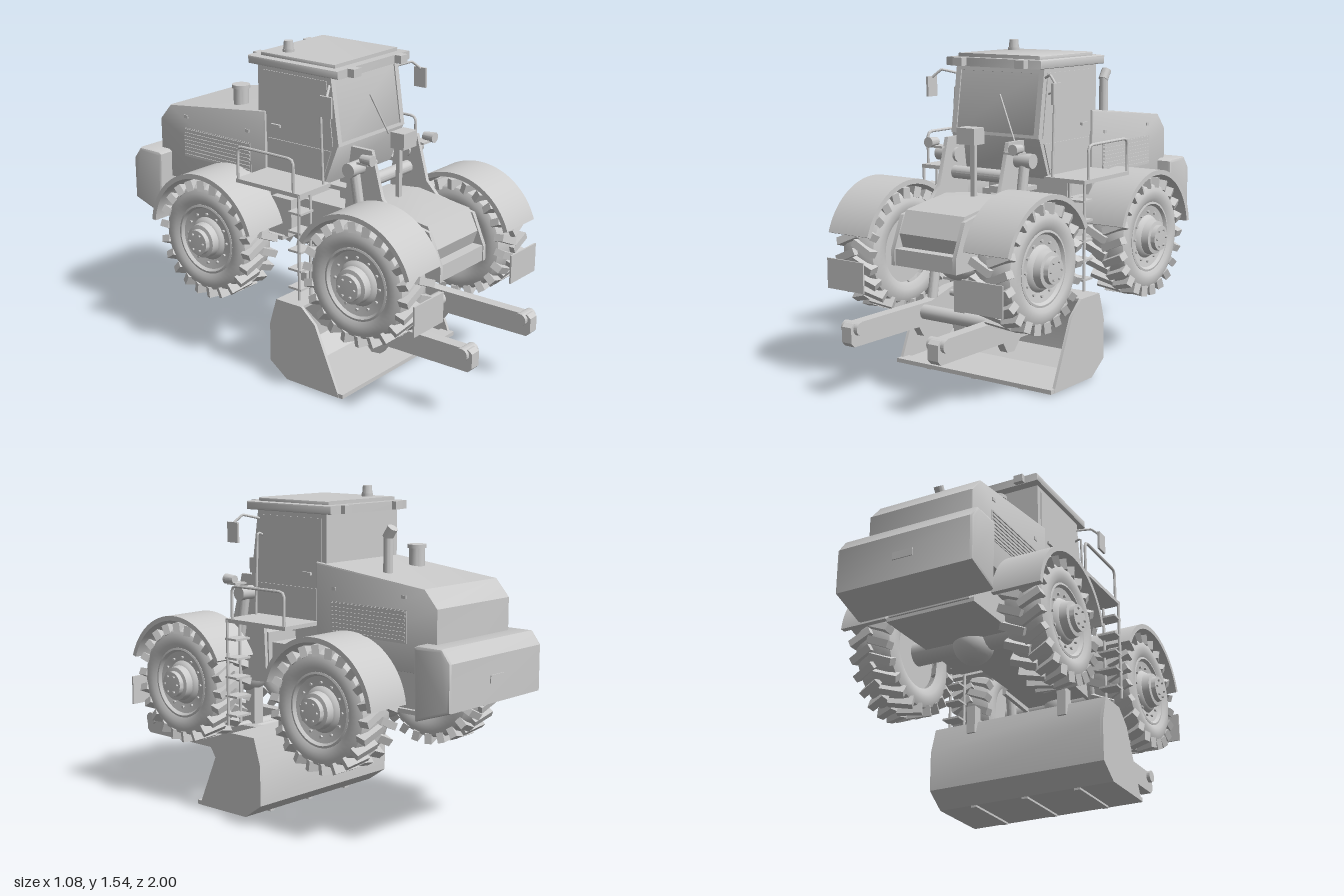
import * as THREE from 'three';
import { toCreasedNormals } from 'three/addons/utils/BufferGeometryUtils.js';

const grey = new THREE.MeshStandardMaterial({ color: 0xcccccc, side: THREE.DoubleSide });
grey.name = 'light grey';

export function createModel() {
  const model = new THREE.Group();
  model.name = 'bucketTractor';

  const add = (name, geo, parent = model) => {
    const m = new THREE.Mesh(toCreasedNormals(geo, 0.6), grey);
    m.name = name;
    parent.add(m);
    return m;
  };
  // box from its limits on each axis
  const box = (name, x0, x1, y0, y1, z0, z1) => {
    const g = new THREE.BoxGeometry(x1 - x0, y1 - y0, z1 - z0);
    g.translate((x0 + x1) / 2, (y0 + y1) / 2, (z0 + z1) / 2);
    return add(name, g);
  };
  // round bar between two points
  const rod = (name, a, b, r, parent, r2 = r, seg = 20) => {
    const A = new THREE.Vector3(...a), B = new THREE.Vector3(...b), d = B.clone().sub(A);
    const m = add(name, new THREE.CylinderGeometry(r2, r, d.length(), seg), parent);
    m.position.copy(A).add(B).multiplyScalar(0.5);
    m.quaternion.setFromUnitVectors(new THREE.Vector3(0, 1, 0), d.normalize());
    return m;
  };
  // side profile in (z, y) swept across x
  const slab = (name, shape, x0, x1, bevel = 0) => {
    const s = Array.isArray(shape) ? new THREE.Shape(shape.map(p => new THREE.Vector2(...p))) : shape;
    const g = new THREE.ExtrudeGeometry(s, {
      depth: x1 - x0 - 2 * bevel, curveSegments: 28, bevelEnabled: bevel > 0,
      bevelSize: bevel, bevelThickness: bevel, bevelOffset: -bevel, bevelSegments: 2,
    });
    g.rotateY(-Math.PI / 2).translate(x1 - bevel, 0, 0);
    return add(name, g);
  };
  const slabPair = (name, shape, x0, x1) => {
    slab(name, shape, x0, x1);
    slab(name, shape, -x1, -x0);
  };
  const pipe = (name, pts, r) => add(name, new THREE.TubeGeometry(
    new THREE.CatmullRomCurve3(pts.map(p => new THREE.Vector3(...p)), false, 'catmullrom', 0.1), 32, r, 8));
  const sides = fn => [1, -1].forEach(fn);

  // wheels: tyre, staggered lugs, dished rim, hub and bolts
  const lathe = pts => new THREE.LatheGeometry(pts.map(p => new THREE.Vector2(...p)), 48).rotateZ(-Math.PI / 2);
  const wheel = (x, z) => {
    const w = new THREE.Group();
    w.name = 'wheel';
    add('tyre', lathe([[0.16, -0.085], [0.19, -0.1], [0.225, -0.1], [0.25, -0.088], [0.262, -0.06], [0.264, 0],
      [0.262, 0.06], [0.25, 0.088], [0.225, 0.1], [0.19, 0.1], [0.165, 0.085]]), w);
    add('rim', lathe([[0, -0.06], [0.16, -0.06], [0.17, 0.09], [0.16, 0.092], [0.15, 0.078], [0.105, 0.07],
      [0.095, 0.085], [0.085, 0.09], [0.08, 0.125], [0.062, 0.128], [0.06, 0.15], [0, 0.152]]), w);
    for (let i = 0; i < 44; i++) {
      const s = i % 2 ? 1 : -1, a = i / 44 * Math.PI * 2;
      const g = new THREE.BoxGeometry(0.115, 0.05, 0.034);
      g.rotateY(s * 0.42).translate(s * 0.047, 0.264, 0).rotateX(a);
      add('treadLug', g, w);
    }
    for (let i = 0; i < 12; i++) {
      const a = i / 12 * Math.PI * 2, c = Math.cos(a), s = Math.sin(a);
      rod('rimBolt', [0.07, 0.122 * c, 0.122 * s], [0.083, 0.122 * c, 0.122 * s], 0.007, w, 0.007, 6);
      if (i % 2) rod('hubBolt', [0.145, 0.042 * c, 0.042 * s], [0.16, 0.042 * c, 0.042 * s], 0.006, w, 0.006, 6);
    }
    w.position.set(x, 0.6, z);
    if (x < 0) w.rotation.y = Math.PI;
    model.add(w);
  };
  // fender arc around an axle, angles measured from the front
  const fender = (z, a0, a1) => {
    const s = new THREE.Shape();
    s.absarc(z, 0.6, 0.327, a0, a1, false);
    s.absarc(z, 0.6, 0.304, a1, a0, true);
    slabPair('fender', s, 0.268, 0.503);
  };
  for (const z of [0.515, -0.385]) {
    sides(s => wheel(s * 0.38, z));
    rod('axle', [-0.3, 0.6, z], [0.3, 0.6, z], 0.056);
    const d = add('differential', new THREE.SphereGeometry(0.095, 24, 16));
    d.position.set(0, 0.585, z);
  }
  fender(0.515, 0.32, 2.68);
  fender(-0.385, 0.3, 3.02);
  sides(s => box('mudFlap', s * 0.385 - 0.108, s * 0.385 + 0.108, 0.45, 0.59, 0.841, 0.849));

  // rear chassis, belly and articulation
  box('rearChassis', -0.2, 0.2, 0.6, 0.82, -0.78, -0.1);
  box('bellyPlate', -0.22, 0.22, 0.585, 0.605, -0.77, -0.12);
  box('articulation', -0.14, 0.14, 0.61, 0.79, -0.12, 0.23);
  sides(s => box('sideTank', s * 0.245 - 0.025, s * 0.245 + 0.025, 0.66, 0.82, -0.14, -0.02));
  box('cabFloor', -0.23, 0.23, 0.8, 0.935, -0.2, -0.02);
  box('hingePlate', -0.085, 0.085, 0.85, 0.87, 0.02, 0.17);
  box('hingeBlock', -0.024, 0.024, 0.78, 0.91, 0.075, 0.125);

  // engine hood with grilles and stacks
  slab('engineHood', [[-0.18, 0.78], [-0.18, 1.22], [-0.8, 1.15], [-0.87, 1.07], [-0.87, 0.78]], -0.265, 0.265, 0.008);
  sides(s => {
    box('grillePanel', s * 0.266 - 0.002, s * 0.266 + 0.002, 0.905, 1.05, -0.705, -0.27);
    for (let i = 0; i < 8; i++) {
      const y = 0.912 + i * 0.018;
      box('grilleSlat', s * 0.268 - 0.005, s * 0.268 + 0.005, y, y + 0.008, -0.7, -0.275);
    }
    for (const z of [-0.29, -0.69]) box('hoodLatch', s * 0.266 - 0.004, s * 0.266 + 0.004, 1.1, 1.115, z - 0.012, z + 0.012);
  });
  rod('airIntake', [-0.145, 1.17, -0.435], [-0.145, 1.27, -0.435], 0.037);
  rod('intakeCap', [-0.145, 1.27, -0.435], [-0.145, 1.287, -0.435], 0.044);
  rod('exhaustPipe', [0.13, 1.16, -0.49], [0.13, 1.35, -0.49], 0.022);
  rod('exhaustTip', [0.13, 1.34, -0.485], [0.13, 1.385, -0.515], 0.024);

  // counterweight
  slab('counterweight', [[-0.8, 0.91], [-0.82, 0.92], [-0.95, 0.92], [-0.995, 0.86], [-0.995, 0.65], [-0.81, 0.59]], -0.34, 0.34, 0.014);
  box('towPlate', -0.05, 0.05, 0.74, 0.775, -1.0, -0.993);

  // cab
  slab('cab', [[0.165, 0.93], [0.24, 1.12], [0.193, 1.44], [-0.23, 1.44], [-0.23, 0.93]], -0.25, 0.25);
  slabPair('sideWindow', [[0.215, 1.12], [0.176, 1.415], [-0.2, 1.415], [-0.2, 1.12]], 0.249, 0.254);
  slabPair('doorPanel', [[0.155, 0.95], [0.205, 1.095], [-0.17, 1.095], [-0.17, 0.95]], 0.249, 0.255);
  sides(s => box('doorHandle', s * 0.258 - 0.008, s * 0.258 + 0.008, 1.155, 1.168, -0.145, -0.09));
  const frame = new THREE.Shape([[-0.25, 0], [0.25, 0], [0.25, 0.32], [-0.25, 0.32]].map(p => new THREE.Vector2(...p)));
  frame.holes.push(new THREE.Path([[-0.222, 0.015], [-0.222, 0.295], [0.222, 0.295], [0.222, 0.015]].map(p => new THREE.Vector2(...p))));
  const fg = new THREE.ExtrudeGeometry(frame, { depth: 0.006, bevelEnabled: false });
  add('windscreenFrame', fg.rotateX(-0.146).translate(0, 1.12, 0.24));
  rod('wiper', [0.015, 1.31, 0.218], [0.12, 1.105, 0.25], 0.004);
  const roof = (name, w, z0, z1, y0, y1) => slab(name, [[z0, y0], [z0, y1], [z1, y1], [z1, y0]], -w, w, 0.01);
  roof('roof', 0.272, -0.275, 0.257, 1.435, 1.475);
  roof('roofHatch', 0.235, -0.23, 0.213, 1.462, 1.492);
  rod('beaconBase', [-0.155, 1.48, -0.125], [-0.155, 1.505, -0.125], 0.028);
  rod('beacon', [-0.155, 1.5, -0.125], [-0.155, 1.543, -0.125], 0.025, model, 0.021);
  sides(s => {
    box('frontRoofLight', s * 0.175 - 0.026, s * 0.175 + 0.026, 1.437, 1.475, 0.25, 0.293);
    box('rearRoofLight', s * 0.18 - 0.024, s * 0.18 + 0.024, 1.437, 1.475, -0.3, -0.26);
    // mirrors
    pipe('mirrorArm', [[s * 0.25, 1.395, 0.19], [s * 0.31, 1.412, 0.24], [s * 0.352, 1.375, 0.26]], 0.006);
    box('mirror', s * 0.356 - 0.006, s * 0.356 + 0.006, 1.285, 1.38, 0.225, 0.292);

    // platform, rails and ladder
    box('platform', s * 0.36 - 0.11, s * 0.36 + 0.11, 0.928, 0.946, -0.18, 0.2);
    pipe('platformRail', [[s * 0.464, 0.94, 0.16], [s * 0.464, 1.08, 0.16], [s * 0.464, 1.1, 0.14],
      [s * 0.464, 1.1, -0.15], [s * 0.464, 1.08, -0.17], [s * 0.464, 0.94, -0.17]], 0.007);
    pipe('cabGrabRail', [[s * 0.25, 1.32, 0.17], [s * 0.285, 1.325, 0.17], [s * 0.285, 0.94, 0.185]], 0.006);
    for (const x of [0.385, 0.465]) rod('ladderSide', [s * x, 0.44, 0.192], [s * x, 0.94, 0.192], 0.007);
    for (let i = 0; i < 5; i++) box('ladderStep', s * 0.425 - 0.045, s * 0.425 + 0.045, 0.485 + i * 0.09, 0.495 + i * 0.09, 0.13, 0.205);
  });

  // front frame with lift tower
  slab('frontFrame', [[0.22, 0.62], [0.22, 0.84], [0.4, 0.86], [0.68, 0.82], [0.73, 0.72], [0.69, 0.6]], -0.165, 0.165);
  slabPair('towerPlate', [[0.22, 0.6], [0.235, 0.9], [0.265, 1.115], [0.38, 1.115], [0.44, 0.9], [0.5, 0.84],
    [0.7, 0.8], [0.765, 0.65], [0.765, 0.58], [0.6, 0.58]], 0.163, 0.183);
  box('frontCrossBar', -0.18, 0.18, 0.58, 0.655, 0.7, 0.76);
  rod('towerTube', [-0.17, 0.95, 0.33], [0.17, 0.95, 0.33], 0.03);
  box('centreLamp', -0.05, 0.05, 1.1, 1.175, 0.385, 0.46);
  box('lampStem', -0.012, 0.012, 0.85, 1.1, 0.39, 0.41);
  sides(s => {
    rod('towerPin', [s * 0.15, 1.03, 0.315], [s * 0.27, 1.03, 0.315], 0.034);
    rod('headlight', [s * 0.24, 1.09, 0.37], [s * 0.24, 1.09, 0.43], 0.02, model, 0.025);
    box('headlightBracket', s * 0.215 - 0.04, s * 0.215 + 0.04, 1.065, 1.075, 0.35, 0.41);
    rod('liftCylinder', [s * 0.225, 1.03, 0.315], [s * 0.225, 0.36, 0.43], 0.024);
  });

  // lift arms and linkage
  slabPair('liftArm', [[0.98, 0.245], [1.0, 0.265], [1.0, 0.335], [0.98, 0.35], [0.45, 0.35], [0.3, 0.39],
    [0.06, 0.4], [0.03, 0.32], [0.16, 0.24]], 0.215, 0.27);
  sides(s => {
    rod('armPin', [s * 0.195, 0.325, 0.955], [s * 0.288, 0.325, 0.955], 0.03);
    box('bucketLug', s * 0.24 - 0.022, s * 0.24 + 0.022, 0.34, 0.475, 0.01, 0.065);
  });
  slabPair('armFoot', [[0.54, 0.25], [0.5, 0.19], [0.45, 0.185], [0.39, 0.25]], 0.222, 0.262);
  rod('lowerCrossTube', [-0.22, 0.308, 0.5], [0.22, 0.308, 0.5], 0.034);
  rod('upperCrossTube', [-0.27, 0.362, 0.3], [0.27, 0.362, 0.3], 0.016);
  box('tiltLever', -0.03, 0.03, 0.19, 0.56, 0.455, 0.515);
  rod('tiltLink', [0, 0.24, 0.48], [0, 0.3, 0.02], 0.02);

  // bucket: curved shell, end plates, lip and wear strips
  slab('bucketShell', [[0.42, 0.01], [0.1, 0.01], [0, 0.08], [0, 0.27], [0.04, 0.4], [0.19, 0.4],
    [0.19, 0.387], [0.05, 0.387], [0.014, 0.265], [0.014, 0.09], [0.105, 0.024], [0.42, 0.02]], -0.445, 0.445);
  slabPair('bucketEnd', [[0.41, 0.01], [0.27, 0.33], [0.19, 0.4], [0.04, 0.4], [0, 0.27], [0, 0.08], [0.1, 0.01]], 0.437, 0.452);
  box('cuttingEdge', -0.45, 0.45, 0.01, 0.03, 0.36, 0.43);
  for (const x of [-0.27, 0, 0.27]) box('wearStrip', x - 0.015, x + 0.015, 0, 0.012, 0.1, 0.41);

  return model;
}
